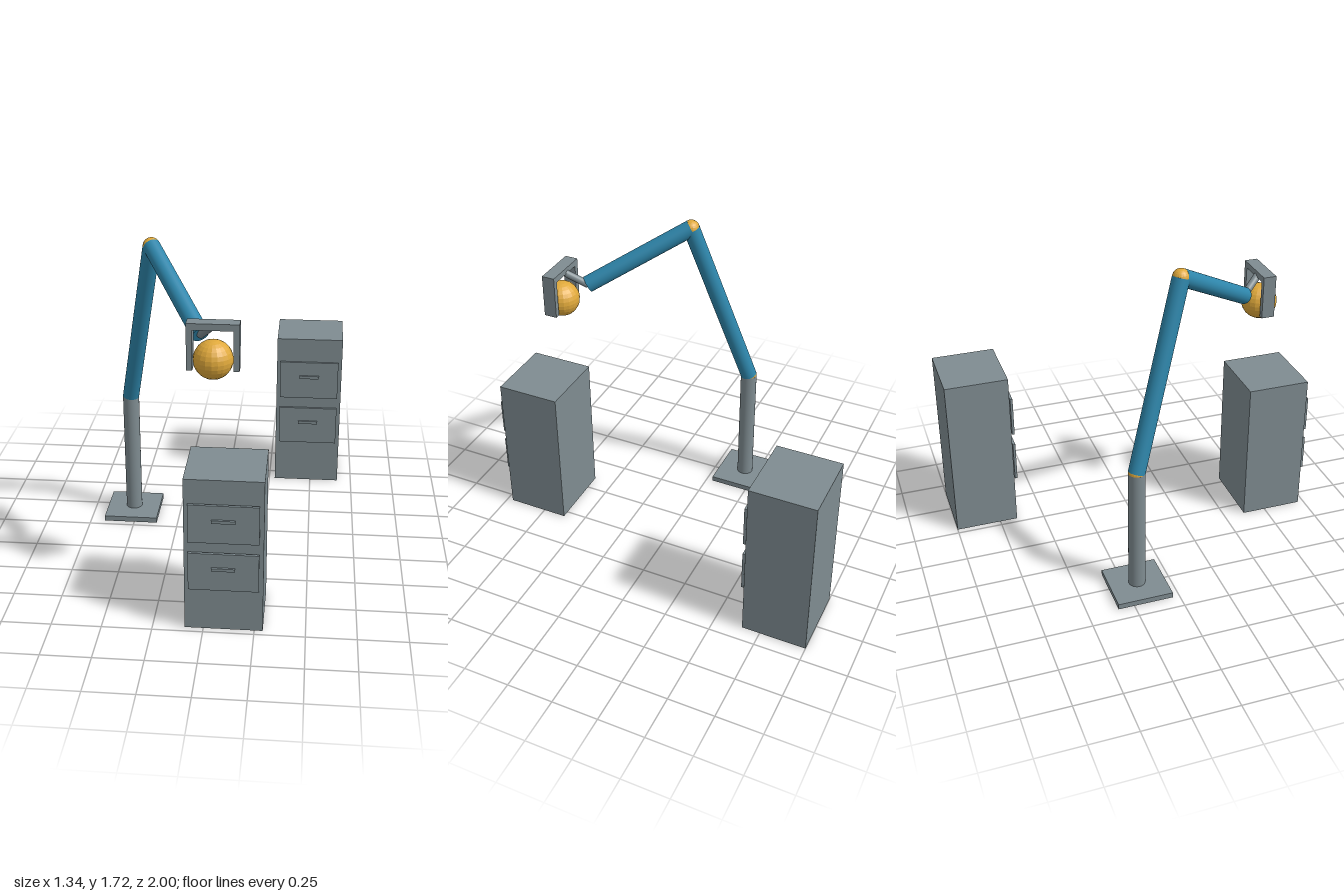
import * as THREE from 'three';

const make = (name, hex) => {
  const m = new THREE.MeshStandardMaterial({ color: hex });
  m.name = name;
  return m;
};

export function createModel() {
  const steel = make('steel grey', 0x7f8c91);
  const blue = make('arm blue', 0x2e86ab);
  const gold = make('joint gold', 0xe0a93b);
  gold.flatShading = true;

  const model = new THREE.Group();
  model.name = 'robotArmWithCabinets';

  const add = (parent, name, geometry, material, x, y, z) => {
    const mesh = new THREE.Mesh(geometry, material);
    mesh.name = name;
    mesh.position.set(x, y, z);
    parent.add(mesh);
    return mesh;
  };
  const box = (parent, name, w, h, d, x, y, z) =>
    add(parent, name, new THREE.BoxGeometry(w, h, d), steel, x, y, z);
  const ball = (parent, name, r, p) =>
    add(parent, name, new THREE.SphereGeometry(r, 20, 14), gold, p.x, p.y, p.z);

  // Round bar between two points
  const bar = (parent, name, a, b, r, material) => {
    const dir = b.clone().sub(a);
    const mid = a.clone().add(b).multiplyScalar(0.5);
    const mesh = add(parent, name, new THREE.CylinderGeometry(r, r, dir.length(), 32),
      material, mid.x, mid.y, mid.z);
    mesh.quaternion.setFromUnitVectors(new THREE.Vector3(0, 1, 0), dir.normalize());
    return mesh;
  };

  // Arm: base, column, two links and joints
  const arm = new THREE.Group();
  arm.name = 'arm';
  model.add(arm);
  const foot = new THREE.Vector3(-0.52, 0.03, -0.187);
  const shoulder = new THREE.Vector3(-0.52, 0.725, -0.187);
  const elbow = new THREE.Vector3(-0.34, 1.677, 0.1);
  const wrist = new THREE.Vector3(-0.045, 1.383, 0.57);
  const palm = new THREE.Vector3(0.028, 1.476, 0.692);
  box(arm, 'basePlate', 0.3, 0.03, 0.3, foot.x, 0.015, foot.z);
  bar(arm, 'column', foot, shoulder, 0.045, steel);
  ball(arm, 'shoulderJoint', 0.045, shoulder);
  bar(arm, 'upperArm', shoulder, elbow, 0.045, blue);
  ball(arm, 'elbowJoint', 0.045, elbow);
  bar(arm, 'forearm', elbow, wrist, 0.045, blue);
  bar(arm, 'wristLink', wrist, palm, 0.02, steel);

  // Gripper: palm, two fingers, held ball
  const gripper = new THREE.Group();
  gripper.name = 'gripper';
  model.add(gripper);
  box(gripper, 'palm', 0.25, 0.033, 0.07, palm.x, palm.y, palm.z);
  for (const side of [-1, 1]) {
    box(gripper, side > 0 ? 'leftFinger' : 'rightFinger', 0.028, 0.2, 0.07,
      palm.x + side * 0.111, 1.36, palm.z);
  }
  ball(gripper, 'heldBall', 0.096, new THREE.Vector3(0.027, 1.307, 0.692));

  // Two-drawer cabinet; drawers and handles scale with its height
  const cabinet = (name, x, z, h) => {
    const g = new THREE.Group();
    g.name = name;
    g.position.set(x, 0, z);
    model.add(g);
    box(g, 'body', 0.383, h, 0.348, 0, h / 2, 0);
    for (const f of [0.409, 0.727]) {
      box(g, 'drawerFront', 0.341, h * 0.246, 0.014, 0, h * f, 0.189);
      box(g, 'handle', 0.114, h * 0.019, 0.014, 0, h * (f + 0.024), 0.2);
    }
  };
  cabinet('frontCabinet', 0.1, 0.793, 0.815);
  cabinet('backCabinet', 0.475, -0.826, 0.921);

  return model;
}
